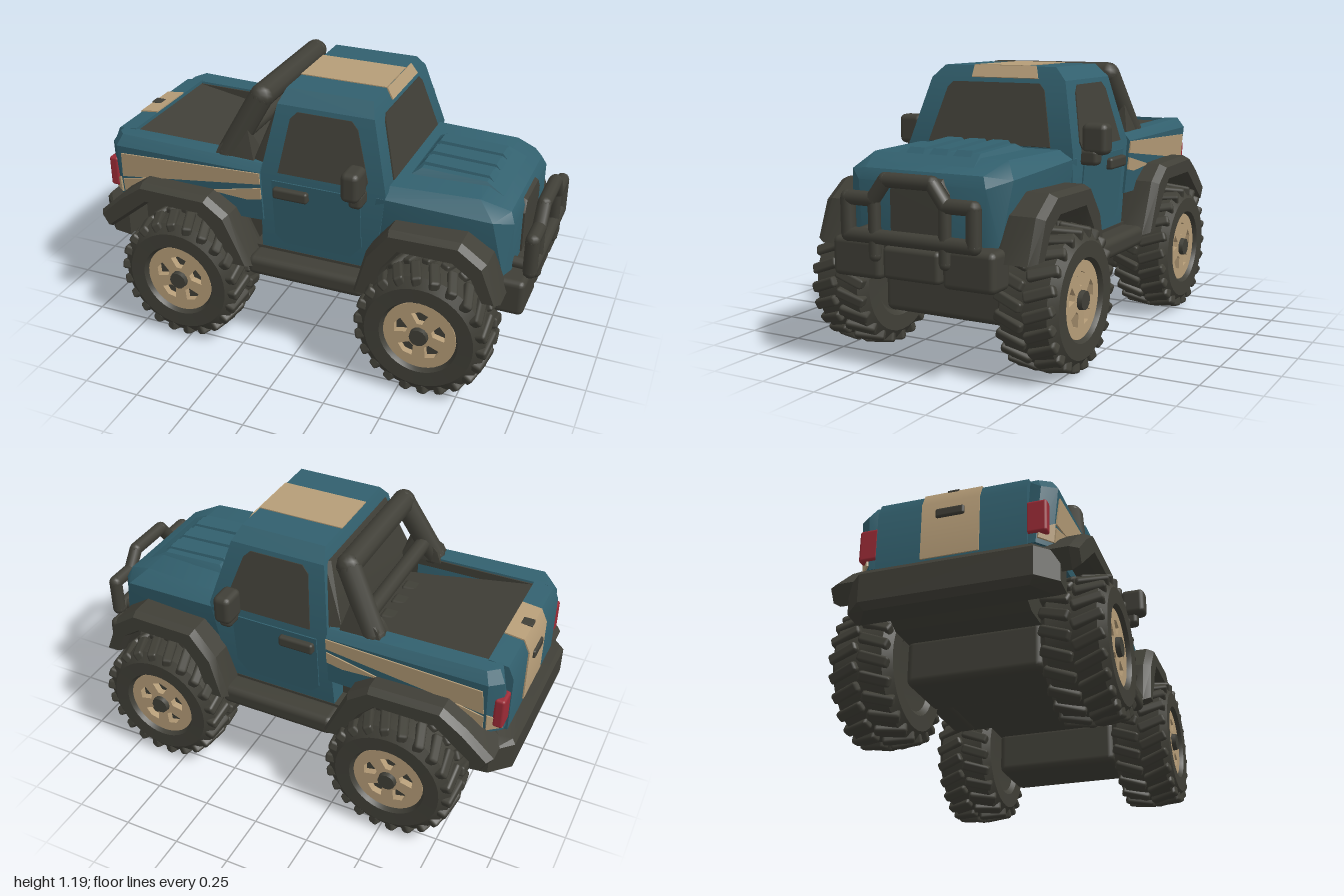
import * as THREE from 'three';
import { toCreasedNormals } from 'three/addons/utils/BufferGeometryUtils.js';
import { ConvexGeometry } from 'three/addons/geometries/ConvexGeometry.js';
import { RoundedBoxGeometry } from 'three/addons/geometries/RoundedBoxGeometry.js';

const mat = (name, color) => Object.assign(new THREE.MeshStandardMaterial({ color }), { name });
const V = (p) => new THREE.Vector3(...p);
const flip = (pts) => pts.map(([x, y, z]) => [x, y, -z]);

export function createModel() {
  const car = new THREE.Group();
  car.name = 'offRoadPickup';
  const blue = mat('bluePaint', 0x32606e);
  const dark = mat('darkTrim', 0x403f37);
  const tan = mat('tanPaint', 0xb69d78);
  const red = mat('redLight', 0x9c2b36);

  const add = (name, geo, m, parent = car) => {
    const mesh = new THREE.Mesh(geo, m);
    mesh.name = name;
    parent.add(mesh);
    return mesh;
  };
  // Convex solid from corner points
  const solid = (name, pts, m) => add(name, toCreasedNormals(new ConvexGeometry(pts.map(V)), 0.45), m);
  // Solid symmetric across the centre plane, given its +z half
  const hull = (name, half, m) => solid(name, [...half, ...flip(half)], m);
  // The same solid on both sides
  const pair = (name, pts, m) => {
    solid(name + 'Right', pts, m);
    solid(name + 'Left', flip(pts), m);
  };
  const box = (name, [x, y, z], [w, h, d], m, r = 0.012) => {
    const mesh = add(name, new RoundedBoxGeometry(w, h, d, 2, Math.min(r, w / 2.1, h / 2.1, d / 2.1)), m);
    mesh.position.set(x, y, z);
    return mesh;
  };
  // Thin painted plate: polygon thickened along a direction
  const thick = (pts, [dx, dy, dz]) => [...pts, ...pts.map(([x, y, z]) => [x + dx, y + dy, z + dz])];
  // Round bar through points
  const bar = (name, pts, r, m) => {
    const g = new THREE.Group();
    g.name = name;
    car.add(g);
    pts.forEach((p, i) => {
      add('joint', new THREE.SphereGeometry(r, 10, 8), m, g).position.set(...p);
      if (!i) return;
      const a = V(pts[i - 1]), b = V(p), d = b.clone().sub(a);
      const rod = add('rod', new THREE.CylinderGeometry(r, r, d.length(), 10), m, g);
      rod.position.copy(a).add(b).multiplyScalar(0.5);
      rod.quaternion.setFromUnitVectors(new THREE.Vector3(0, 1, 0), d.normalize());
    });
  };

  // Cab and hood
  hull('cab', [
    [-0.2, 0.43, 0.365], [0.32, 0.43, 0.365], [-0.18, 0.84, 0.4], [0.38, 0.84, 0.4],
    [-0.13, 1.13, 0.325], [0.3, 1.13, 0.325], [-0.11, 1.185, 0.27], [0.275, 1.185, 0.27]], blue);
  hull('rearWindow', [[-0.23, 0.8, 0.36], [-0.17, 0.8, 0.38], [-0.225, 0.88, 0.36], [-0.16, 0.88, 0.375],
    [-0.14, 1.13, 0.28], [-0.12, 1.13, 0.3]], dark);
  hull('hood', [
    [0.3, 0.6, 0.37], [0.8, 0.6, 0.36], [0.87, 0.54, 0.34], [0.89, 0.54, 0.28],
    [0.34, 0.82, 0.4], [0.82, 0.79, 0.37], [0.89, 0.76, 0.29],
    [0.36, 0.855, 0.34], [0.75, 0.855, 0.31], [0.87, 0.805, 0.27]], blue);
  hull('hoodBulge', [[0.4, 0.84, 0.22], [0.46, 0.88, 0.18], [0.74, 0.87, 0.18], [0.83, 0.82, 0.2]], blue);
  for (const z of [-0.11, 0, 0.11]) {
    solid('hoodLouver', [-1, 1].flatMap((s) => [
      [0.43, 0.86, z + s * 0.045], [0.46, 0.893, z + s * 0.035],
      [0.74, 0.88, z + s * 0.035], [0.78, 0.84, z + s * 0.045]]), blue);
  }
  const cabZ = (y) => 0.4 - (y - 0.84) * 0.2586;
  const shieldX = (y) => 0.38 - (y - 0.84) * 0.2759;
  hull('windshield', thick([[0.86, 0.295], [1.09, 0.235], [1.115, 0.21]].map(([y, z]) => [shieldX(y), y, z]), [0.006, 0.002, 0]), dark);
  pair('sideWindow', thick([[-0.1, 0.85], [-0.065, 1.08], [-0.035, 1.11], [0.205, 1.11], [0.235, 1.08], [0.3, 0.88], [0.29, 0.85]]
    .map(([x, y]) => [x, y, cabZ(y)]), [0, 0.001, 0.005]), dark);
  const doorZ = (y) => 0.365 + (y - 0.43) * 0.0854;
  pair('doorPanel', thick([[-0.13, 0.54], [-0.13, 0.81], [0.27, 0.81], [0.27, 0.56], [0.22, 0.5], [-0.09, 0.5]]
    .map(([x, y]) => [x, y, doorZ(y)]), [0, 0, 0.006]), blue);
  hull('roofStripe', thick([[-0.112, 1.184, 0.12], [0.275, 1.184, 0.12]], [0, 0.005, 0]), tan);
  solid('roofStripeFront', thick([[0.275, 1.184, 0.12], [0.275, 1.184, -0.18],
    [0.3, 1.135, 0.12], [0.3, 1.135, -0.2]], [0.005, 0.003, 0]), tan);

  // Cargo bed
  pair('bedSide', [
    [-0.94, 0.58, 0.25], [-0.94, 0.58, 0.34], [-0.88, 0.58, 0.388], [-0.18, 0.6, 0.39], [-0.18, 0.6, 0.3],
    [-0.93, 0.83, 0.36], [-0.88, 0.84, 0.414], [-0.18, 0.84, 0.414],
    [-0.9, 0.88, 0.34], [-0.86, 0.888, 0.385], [-0.18, 0.872, 0.385],
    [-0.9, 0.88, 0.3], [-0.18, 0.872, 0.3]], blue);
  hull('tailgate', [[-0.95, 0.56, 0.31], [-0.82, 0.56, 0.31], [-0.95, 0.82, 0.31], [-0.925, 0.875, 0.31],
    [-0.84, 0.885, 0.31]], blue);
  hull('tailgateStripe', [[-0.956, 0.58, 0.12], [-0.956, 0.822, 0.12], [-0.928, 0.881, 0.12],
    [-0.842, 0.891, 0.12], [-0.84, 0.58, 0.12]], tan);
  box('tailgateSeam', [-0.905, 0.878, 0], [0.05, 0.02, 0.05], dark, 0.004);
  box('tailgateHandle', [-0.957, 0.77, 0], [0.02, 0.04, 0.12], dark);
  hull('bedFloor', [[-0.85, 0.62, 0.3], [-0.2, 0.62, 0.3], [-0.84, 0.87, 0.3], [-0.72, 0.76, 0.3], [-0.2, 0.76, 0.3]], dark);
  for (let i = 0; i < 4; i++) box('bedRib', [-0.5, 0.765, -0.18 + i * 0.12], [0.44, 0.04, 0.075], dark, 0.015);
  pair('bedLiner', thick([[-0.84, 0.75, 0.3], [-0.84, 0.87, 0.3], [-0.2, 0.865, 0.3], [-0.2, 0.75, 0.3]], [0, 0, -0.008]), dark);

  // Side stripes on the bed
  const bedZ = (y) => 0.39 + (y - 0.6) * 0.1;
  const swooshes = [
    [[-0.86, 0.805], [-0.18, 0.838], [-0.18, 0.785], [-0.55, 0.735], [-0.87, 0.685]],
    [[-0.18, 0.765], [-0.43, 0.705], [-0.25, 0.695], [-0.18, 0.71]],
    [[-0.87, 0.67], [-0.7, 0.71], [-0.8, 0.66], [-0.87, 0.6]]];
  for (const s of swooshes) pair('bedStripe', thick(s.map(([x, y]) => [x, y, bedZ(y) - 0.001]), [0, 0, 0.007]), tan);
  pair('rearCornerStripe', thick([[-0.936, 0.6, 0.345], [-0.936, 0.64, 0.348], [-0.88, 0.68, 0.398], [-0.88, 0.6, 0.39]], [-0.005, 0, 0.006]), tan);

  // Underbody, axles, bumpers
  hull('underbody', [[-0.9, 0.42, 0.28], [-0.8, 0.37, 0.28], [0.8, 0.37, 0.28], [0.88, 0.42, 0.28],
    [-0.9, 0.62, 0.28], [0.86, 0.62, 0.28]], dark);
  hull('floorPan', [[-0.23, 0.37, 0.37], [0.31, 0.37, 0.37], [-0.24, 0.46, 0.37], [0.33, 0.46, 0.37]], dark);
  hull('rearBumper', [
    [-0.98, 0.38, 0.33], [-0.87, 0.38, 0.4], [-1, 0.41, 0.35], [-1, 0.53, 0.35], [-0.985, 0.55, 0.34],
    [-0.92, 0.41, 0.43], [-0.92, 0.53, 0.43], [-0.84, 0.4, 0.43], [-0.84, 0.54, 0.43], [-0.84, 0.56, 0.38]], dark);
  hull('frontBumper', [[0.82, 0.4, 0.34], [0.82, 0.53, 0.34], [0.93, 0.4, 0.3], [0.94, 0.52, 0.3]], dark);
  box('bumperCenter', [0.93, 0.455, 0], [0.08, 0.13, 0.26], dark, 0.02);
  for (const s of [1, -1]) box('bumperEnd', [0.905, 0.46, s * 0.255], [0.13, 0.16, 0.23], dark, 0.025);

  // Grille and brush guard
  hull('grille', [[0.88, 0.55, 0.135], [0.898, 0.55, 0.135], [0.88, 0.73, 0.135], [0.898, 0.73, 0.135],
    [0.88, 0.785, 0.1], [0.896, 0.775, 0.1]], dark);
  const gx = 0.968;
  bar('brushGuard', [[0.555, -0.285], [0.7, -0.285], [0.7, -0.165], [0.78, -0.105], [0.78, 0.105],
    [0.7, 0.165], [0.7, 0.285], [0.555, 0.285], [0.555, -0.285]].map(([y, z]) => [gx, y, z]), 0.03, dark);
  for (const s of [1, -1]) {
    bar('guardUpright', [[gx, 0.48, s * 0.16], [gx, 0.7, s * 0.16]], 0.025, dark);
    bar('guardMount', [[0.88, 0.56, s * 0.24], [gx, 0.555, s * 0.24]], 0.025, dark);
  }

  // Fender flares
  const arches = {
    frontFender: [[0.29, 0.42], [0.34, 0.6], [0.43, 0.715], [0.72, 0.72], [0.82, 0.65], [0.88, 0.5],
      [0.83, 0.5], [0.78, 0.6], [0.7, 0.655], [0.47, 0.655], [0.4, 0.56], [0.36, 0.42]],
    rearFender: [[-0.22, 0.42], [-0.32, 0.63], [-0.41, 0.695], [-0.72, 0.7], [-0.82, 0.63], [-0.93, 0.53],
      [-0.9, 0.48], [-0.8, 0.56], [-0.7, 0.64], [-0.44, 0.64], [-0.37, 0.57], [-0.28, 0.42]] };
  for (const [name, pts] of Object.entries(arches)) {
    const geo = toCreasedNormals(new THREE.ExtrudeGeometry(new THREE.Shape(pts.map((p) => new THREE.Vector2(...p))),
      { depth: 0.12, bevelSize: 0.016, bevelThickness: 0.035, bevelSegments: 1 }), 0.4);
    add(name + 'Right', geo, dark).position.z = 0.35;
    add(name + 'Left', geo, dark).position.z = -0.47;
  }

  // Parts repeated on each side
  for (const s of [1, -1]) {
    box('sideStep', [0.04, 0.405, s * 0.41], [0.54, 0.09, 0.12], dark, 0.03);
    box('doorHandle', [-0.04, 0.76, s * 0.405], [0.16, 0.05, 0.04], dark);
    box('mirror', [0.26, 0.895, s * 0.452], [0.08, 0.13, 0.115], dark, 0.025);
    box('mirrorStem', [0.27, 0.82, s * 0.425], [0.06, 0.07, 0.09], dark, 0.02);
    box('tailLight', [-0.925, 0.69, s * 0.345], [0.045, 0.14, 0.085], red, 0.012);
  }
  // Roll bar leaning toward the cab
  bar('rollBar', [[-0.36, 0.87, 0.335], [-0.22, 1.135, 0.285], [-0.22, 1.135, -0.285], [-0.36, 0.87, -0.335]], 0.052, dark);
  bar('rollBarBrace', [[-0.32, 0.94, 0.3], [-0.32, 0.94, -0.3]], 0.035, dark);
  pair('rollBarFoot', [[-0.41, 0.86, 0.285], [-0.22, 0.86, 0.285], [-0.41, 0.86, 0.38], [-0.22, 0.86, 0.38],
    [-0.39, 0.91, 0.29], [-0.24, 0.91, 0.29], [-0.39, 0.91, 0.37], [-0.24, 0.91, 0.37],
    [-0.3, 1.0, 0.29], [-0.26, 1.0, 0.35]], dark);

  // Wheels: tyre, lugs, five-hole rim
  const profile = [[0, -0.1], [0.15, -0.11], [0.17, -0.128], [0.235, -0.13], [0.277, -0.1], [0.277, 0.1],
    [0.235, 0.13], [0.17, 0.128], [0.155, 0.1], [0.152, 0.07], [0, 0.07]].map((p) => new THREE.Vector2(...p));
  const tireGeo = toCreasedNormals(new THREE.LatheGeometry(profile, 36).rotateX(Math.PI / 2), 0.6);
  const face = new THREE.Shape().absarc(0, 0, 0.157, 0, Math.PI * 2);
  for (let i = 0; i < 5; i++) {
    const a = (i / 5) * Math.PI * 2 + Math.PI / 2;
    face.holes.push(new THREE.Path([[0.058, -0.2], [0.058, 0.2], [0.108, 0.36], [0.116, 0], [0.108, -0.36]]
      .map(([r, t]) => new THREE.Vector2(r * Math.cos(a + t), r * Math.sin(a + t)))));
  }
  const rimGeo = new THREE.ExtrudeGeometry(face, { depth: 0.03, bevelEnabled: false, curveSegments: 20 });
  const lugGeo = new RoundedBoxGeometry(0.045, 0.05, 0.13, 1, 0.012);
  const hubGeo = new THREE.CylinderGeometry(0.038, 0.045, 0.05, 12).rotateX(Math.PI / 2);
  for (const [x, end] of [[-0.53, 'rear'], [0.59, 'front']]) {
    box(end + 'Axle', [x, 0.29, 0], [0.3, 0.2, 0.57], dark, 0.03);
    for (const s of [1, -1]) {
      const wheel = new THREE.Group();
      wheel.name = end + 'Wheel';
      wheel.position.set(x, 0.302, s * 0.432);
      if (s < 0) wheel.rotation.y = Math.PI;
      car.add(wheel);
      add('tire', tireGeo, dark, wheel);
      add('rim', rimGeo, tan, wheel).position.z = 0.08;
      add('hub', hubGeo, dark, wheel).position.z = 0.105;
      for (let i = 0; i < 44; i++) {
        const row = i % 2 ? 1 : -1, a = (i / 44) * Math.PI * 2;
        const pivot = new THREE.Group();
        pivot.name = 'treadLug';
        pivot.rotation.z = a;
        wheel.add(pivot);
        const lug = add('lug', lugGeo, dark, pivot);
        lug.position.set(0, 0.268, row * 0.062);
        lug.rotation.set(row * 0.12, row * 0.35, 0);
      }
    }
  }
  return car;
}
